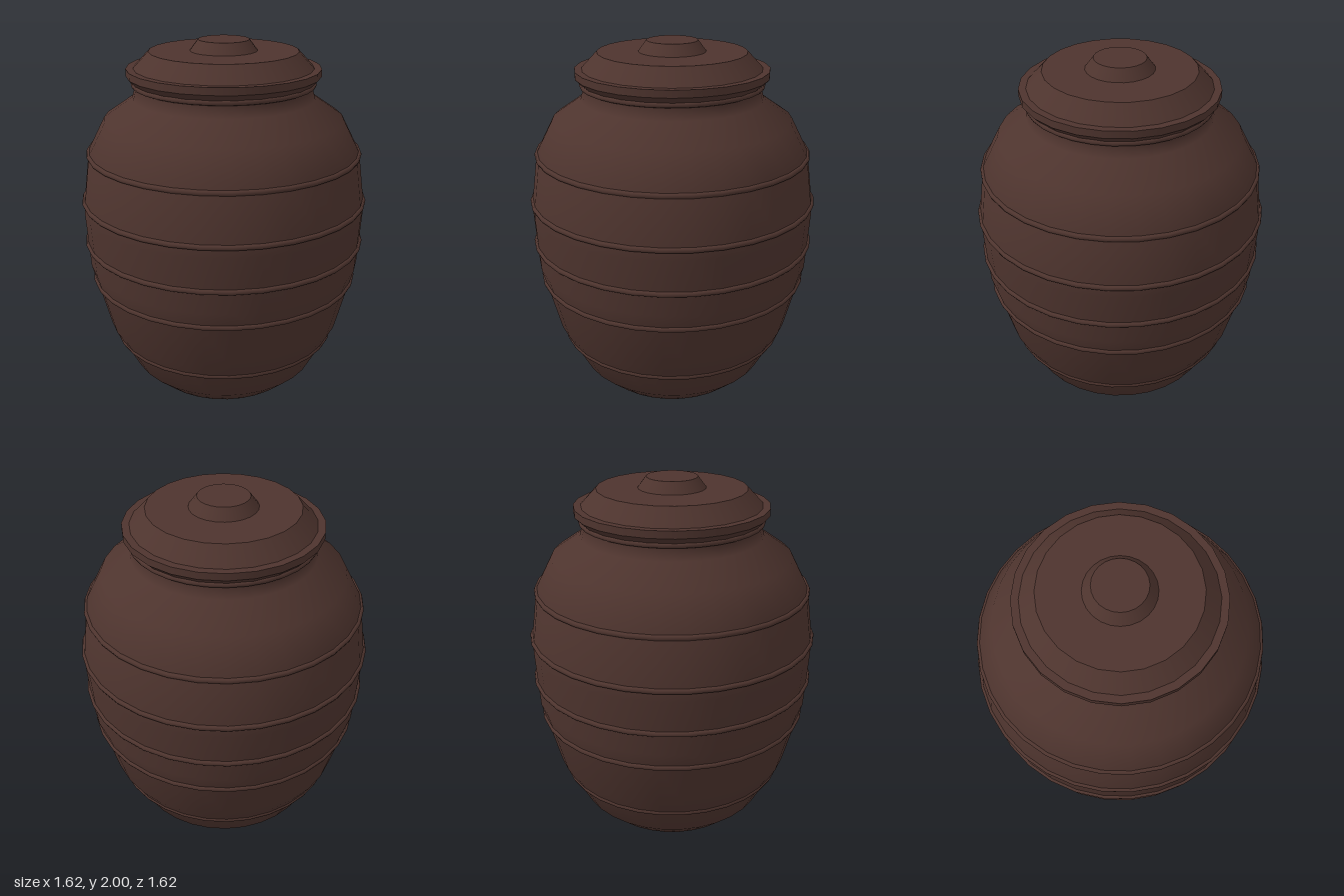
import * as THREE from 'three';

const clay = new THREE.MeshStandardMaterial({ color: 0x4e342e });
clay.name = 'brown clay';

// Revolve [radius, height] points, listed from bottom to top
function lathe(points, segments) {
  return new THREE.LatheGeometry(points.map(([r, y]) => new THREE.Vector2(r, y)), segments);
}

function add(parent, name, geometry) {
  const mesh = new THREE.Mesh(geometry, clay);
  mesh.name = name;
  parent.add(mesh);
  return mesh;
}

// Each profile segment becomes its own band, so the edges between stay sharp
function sharpLathe(parent, name, points, segments) {
  const group = new THREE.Group();
  group.name = name;
  for (let i = 0; i < points.length - 1; i++) {
    add(group, name + 'Band' + (i + 1), lathe([points[i], points[i + 1]], segments));
  }
  parent.add(group);
}

export function createModel() {
  const jar = new THREE.Group();
  jar.name = 'lidded jar';

  // Smooth bulging body with its base and neck
  add(jar, 'body', lathe([
    [0, 0], [0.43, 0], [0.54, 0.1], [0.68, 0.36], [0.755, 0.65], [0.78, 0.74],
    [0.8, 1.06], [0.795, 1.13], [0.76, 1.39], [0.665, 1.575], [0.505, 1.685],
    [0.49, 1.74], [0.49, 1.8],
  ], 32));

  // Raised rings around the body and neck: [radius, height]
  const rings = [
    [0.635, 0.285], [0.755, 0.65], [0.788, 0.87], [0.795, 1.115], [0.757, 1.385], [0.495, 1.765],
  ];
  rings.forEach(([radius, y], i) => {
    const ring = add(jar, i === 5 ? 'neckRing' : 'bodyRing' + (i + 1),
      new THREE.TorusGeometry(radius, 0.015, 8, 32));
    ring.rotation.set(Math.PI / 2, 0, Math.PI / 2);
    ring.position.y = y;
  });

  // Lid with a flared rim, sloping shoulder and flat top
  sharpLathe(jar, 'lid', [
    [0, 1.775], [0.5, 1.775], [0.535, 1.81], [0.535, 1.85], [0.495, 1.85], [0.41, 1.94], [0, 1.94],
  ], 24);

  // Tapered knob
  sharpLathe(jar, 'knob', [[0.185, 1.94], [0.14, 2], [0, 2]], 24);

  return jar;
}
